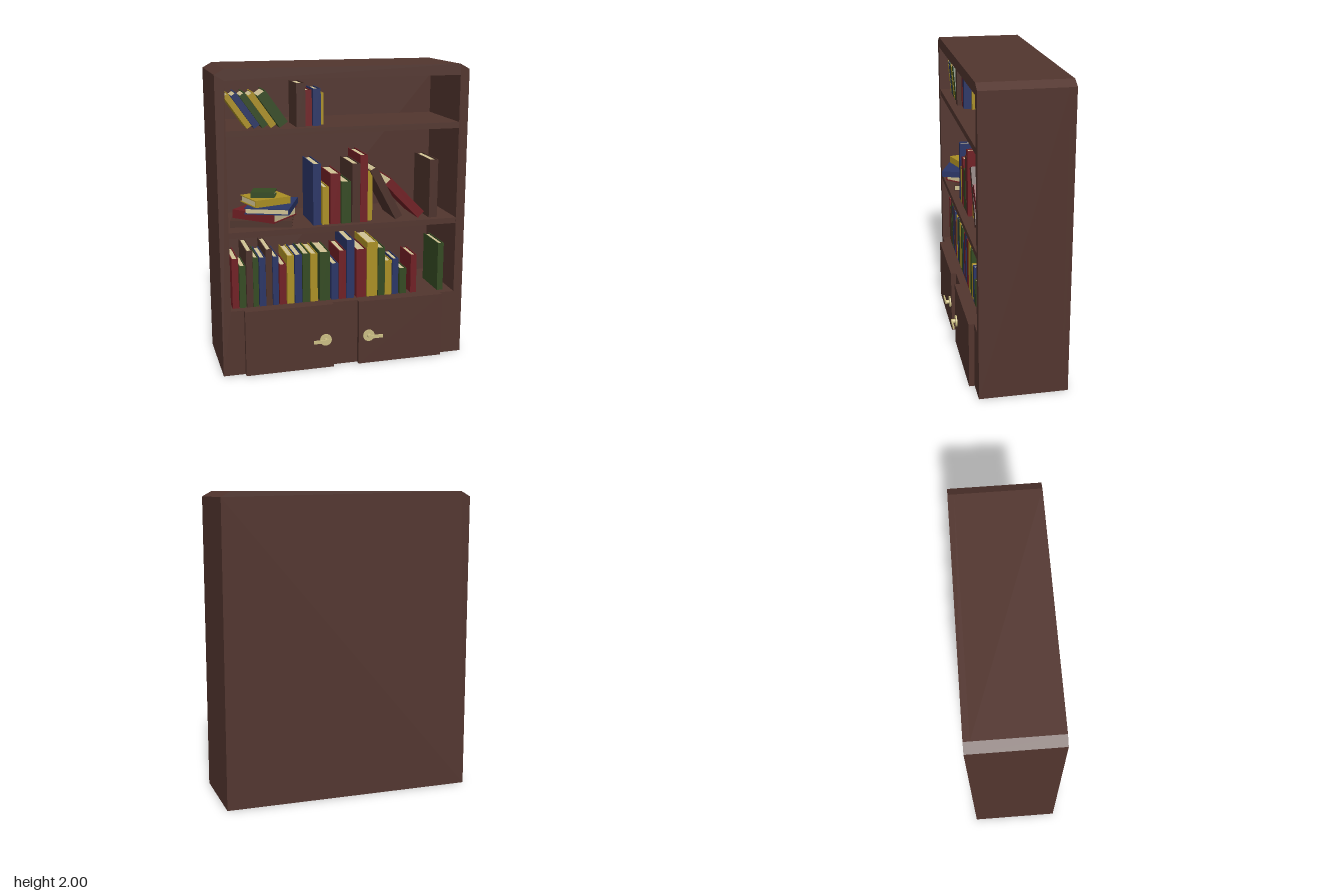
import * as THREE from 'three';

const mat = (name, color) => {
  const m = new THREE.MeshStandardMaterial({ color });
  m.name = name;
  return m;
};

export function createModel() {
  const wood = mat('dark wood', 0x52352e);
  const brass = mat('pale brass', 0xcbbe84);
  const paper = mat('paper', 0xd0c294);
  const covers = {
    r: mat('red cover', 0x701f24),
    g: mat('green cover', 0x344a22),
    b: mat('blue cover', 0x2a3566),
    y: mat('yellow cover', 0xab8f24),
    n: mat('brown cover', 0x4d322b),
  };

  const root = new THREE.Group();
  root.name = 'bookcase';

  const box = (parent, name, material, x0, x1, y0, y1, z0, z1) => {
    const mesh = new THREE.Mesh(new THREE.BoxGeometry(x1 - x0, y1 - y0, z1 - z0), material);
    mesh.position.set((x0 + x1) / 2, (y0 + y1) / 2, (z0 + z1) / 2);
    mesh.name = name;
    parent.add(mesh);
    return mesh;
  };

  // Carcass: chamfered outline, open upper part, thin back
  const outline = () => new THREE.Shape([
    [-0.833, 0], [0.833, 0], [0.833, 1.965], [0.77, 2], [-0.77, 2], [-0.833, 1.965],
  ].map(([x, y]) => new THREE.Vector2(x, y)));
  const extrude = (name, shape, z0, z1) => {
    const geo = new THREE.ExtrudeGeometry(shape, { depth: z1 - z0, bevelEnabled: false });
    geo.translate(0, 0, z0);
    const mesh = new THREE.Mesh(geo, wood);
    mesh.name = name;
    root.add(mesh);
  };
  const frame = outline();
  frame.holes.push(new THREE.Path([
    [-0.772, 0.445], [-0.772, 1.928], [0.772, 1.928], [0.772, 0.445],
  ].map(([x, y]) => new THREE.Vector2(x, y))));
  extrude('frame', frame, -0.285, 0.25);
  extrude('backPanel', outline(), -0.325, -0.285);

  // Shelves
  box(root, 'lowerShelf', wood, -0.772, 0.772, 0.932, 0.97, -0.285, 0.249);
  box(root, 'upperShelf', wood, -0.772, 0.772, 1.58, 1.62, -0.285, 0.249);

  // Cupboard doors
  box(root, 'rightDoor', wood, -0.688, -0.095, 0, 0.445, 0.25, 0.286);
  box(root, 'leftDoor', wood, 0.08, 0.673, 0, 0.445, 0.25, 0.286);

  // Lever handles, pointing away from the middle
  for (const side of [-1, 1]) {
    const handle = new THREE.Group();
    handle.name = side < 0 ? 'rightHandle' : 'leftHandle';
    const disc = (name, r, z0, z1) => {
      const mesh = new THREE.Mesh(new THREE.CylinderGeometry(r, r, z1 - z0, 20), brass);
      mesh.rotation.x = Math.PI / 2;
      mesh.position.z = (z0 + z1) / 2;
      mesh.name = name;
      handle.add(mesh);
    };
    disc('rosette', 0.04, 0.286, 0.295);
    disc('neck', 0.014, 0.295, 0.324);
    const lever = box(handle, 'lever', brass, -0.012, 0.09, -0.011, 0.011, 0.316, 0.325);
    lever.position.x *= side;
    handle.position.set(0.15 * side, 0.2, 0);
    root.add(handle);
  }

  // A book standing upright about its centre, spine towards +z
  const makeBook = (name, color, t, h, d) => {
    const book = new THREE.Group();
    book.name = name;
    const c = 0.006, m = covers[color], inset = 0.008;
    box(book, 'sideCover', m, -t / 2, -t / 2 + c, -h / 2, h / 2, -d / 2, d / 2);
    box(book, 'sideCover', m, t / 2 - c, t / 2, -h / 2, h / 2, -d / 2, d / 2);
    box(book, 'spine', m, -t / 2 + c, t / 2 - c, -h / 2, h / 2, d / 2 - c, d / 2);
    box(book, 'pages', paper, -t / 2 + c, t / 2 - c,
      -h / 2 + inset, h / 2 - inset, -d / 2 + inset, d / 2 - c);
    root.add(book);
    return book;
  };

  // Upright rows: [colour, left, right, top, front]
  const row = (base, front, list) => list.forEach(([color, x0, x1, top, z = front]) => {
    const h = top - base, d = Math.min(0.3, h * 0.82);
    makeBook('uprightBook', color, x1 - x0, h, d)
      .position.set((x0 + x1) / 2, base + h / 2, z - d / 2);
  });
  row(0.445, 0.2, [
    ['r', -0.753, -0.71, 0.782], ['g', -0.705, -0.663, 0.73], ['n', -0.658, -0.616, 0.83],
    ['g', -0.615, -0.579, 0.782], ['b', -0.573, -0.531, 0.777], ['n', -0.53, -0.488, 0.83],
    ['b', -0.484, -0.446, 0.777], ['r', -0.44, -0.394, 0.72], ['y', -0.388, -0.341, 0.777],
    ['b', -0.336, -0.288, 0.777], ['g', -0.283, -0.235, 0.782], ['y', -0.23, -0.182, 0.777],
    ['g', -0.166, -0.098, 0.782], ['b', -0.087, -0.04, 0.698], ['r', -0.034, 0.013, 0.782],
    ['b', 0.019, 0.072, 0.852], ['r', 0.087, 0.156, 0.782], ['y', 0.161, 0.235, 0.825],
    ['g', 0.24, 0.288, 0.782], ['y', 0.289, 0.336, 0.688], ['b', 0.341, 0.384, 0.698],
    ['g', 0.394, 0.442, 0.624], ['r', 0.473, 0.515, 0.714], ['g', 0.669, 0.711, 0.782],
  ]);
  row(0.97, 0.2, [
    ['b', -0.209, -0.156, 1.377], ['y', -0.146, -0.104, 1.223], ['r', -0.093, -0.024, 1.308],
    ['g', -0.019, 0.046, 1.25], ['n', 0.055, 0.109, 1.366], ['r', 0.11, 0.161, 1.42],
    ['y', 0.163, 0.203, 1.31, 0.17], ['n', 0.595, 0.653, 1.366],
  ]);
  row(1.62, 0.17, [
    ['n', -0.314, -0.256, 1.897, 0.2], ['r', -0.251, -0.207, 1.85],
    ['b', -0.199, -0.148, 1.858], ['y', -0.146, -0.118, 1.825, 0.12],
  ]);

  // Leaning books: [colour, base y, lowest corner x, thickness, height, degrees, depth]
  [
    ['n', 0.97, 0.362, 0.052, 0.385, 28, 0.28], ['r', 0.97, 0.52, 0.06, 0.335, 44, 0.27],
    ['y', 1.62, -0.629, 0.036, 0.25, 35, 0.2], ['b', 1.62, -0.583, 0.042, 0.25, 35, 0.2],
    ['g', 1.62, -0.53, 0.042, 0.25, 35, 0.2], ['y', 1.62, -0.477, 0.042, 0.25, 35, 0.2],
    ['g', 1.62, -0.42, 0.064, 0.245, 35, 0.22],
  ].forEach(([color, base, x, t, h, deg, d]) => {
    const a = THREE.MathUtils.degToRad(deg), s = Math.sin(a), c = Math.cos(a);
    const book = makeBook('leaningBook', color, t, h, d);
    book.rotation.z = a;
    book.position.set(x + (t * c - h * s) / 2, base + (t * s + h * c) / 2, 0.19 - d / 2);
  });

  // Stack of flat books: [colour, bottom, top, length, width, turn, x, z]
  [
    ['n', 0.97, 1.014, 0.4, 0.28, -15, -0.513, 0.03],
    ['r', 1.014, 1.072, 0.32, 0.28, -44, -0.5, 0.045],
    ['b', 1.072, 1.113, 0.35, 0.29, 68, -0.46, 0.08],
    ['y', 1.113, 1.16, 0.255, 0.215, 17, -0.5, 0.07],
    ['g', 1.16, 1.195, 0.155, 0.135, -18, -0.51, 0.07],
  ].forEach(([color, y0, y1, l, w, deg, x, z]) => {
    const book = makeBook('stackedBook', color, y1 - y0, l, w);
    book.rotation.set(0, THREE.MathUtils.degToRad(deg), Math.PI / 2);
    book.rotation.order = 'YXZ';
    book.position.set(x, (y0 + y1) / 2, z);
  });

  return root;
}
